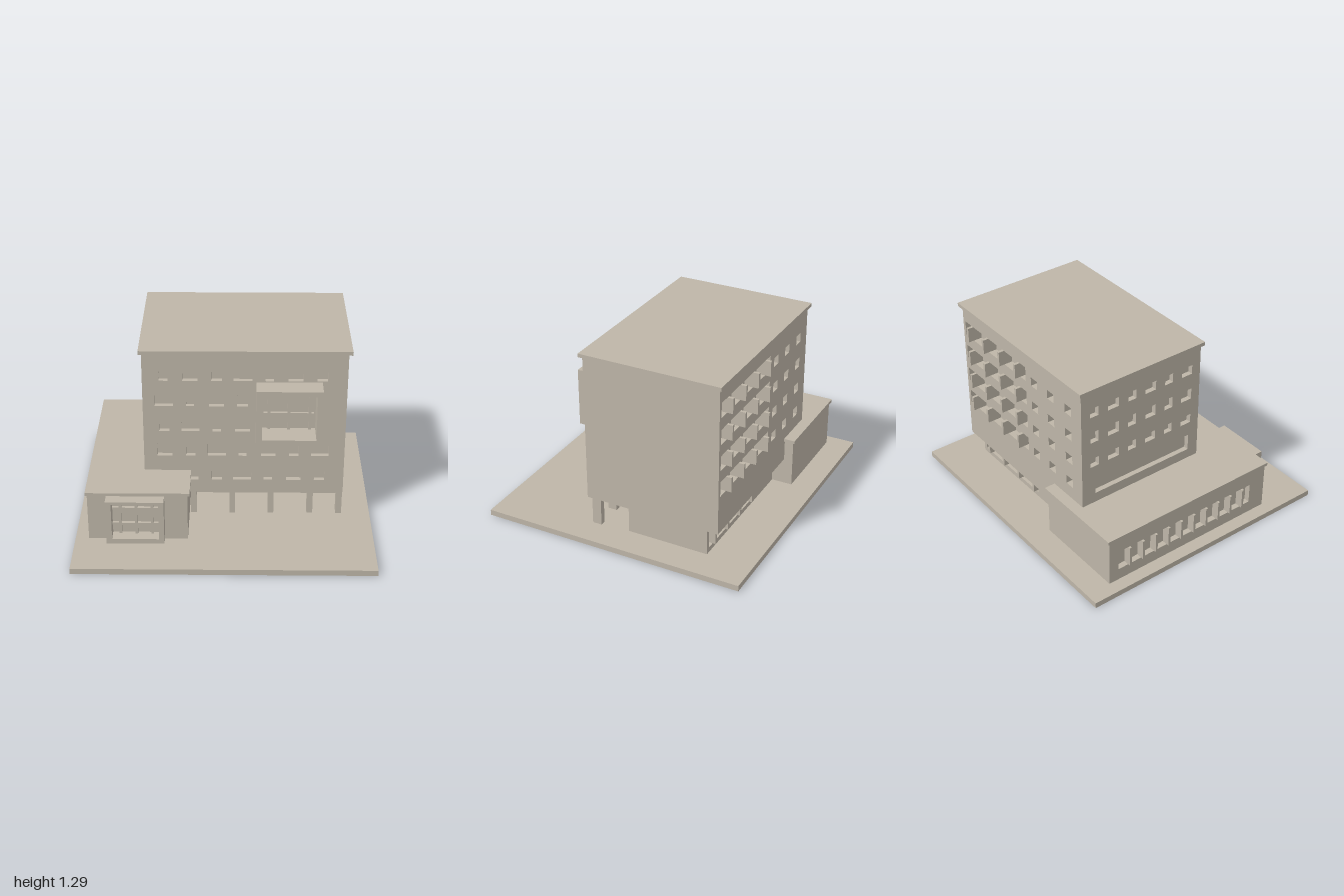
import * as THREE from 'three';

const stone = new THREE.MeshStandardMaterial({ color: 0xbeb6a8 });
stone.name = 'warm stone';

// Box given by its min and max corners
function box(parent, name, x0, x1, y0, y1, z0, z1) {
  const m = new THREE.Mesh(new THREE.BoxGeometry(x1 - x0, y1 - y0, z1 - z0), stone);
  m.position.set((x0 + x1) / 2, (y0 + y1) / 2, (z0 + z1) / 2);
  m.name = name;
  parent.add(m);
  return m;
}

function rect(path, [u0, u1, v0, v1]) {
  path.moveTo(u0, v0);
  path.lineTo(u1, v0);
  path.lineTo(u1, v1);
  path.lineTo(u0, v1);
  path.closePath();
  return path;
}

// Upright panel with rectangular openings, extruded along +z
function panel(parent, name, outline, holes, z0, z1) {
  const shape = rect(new THREE.Shape(), outline);
  for (const h of holes) shape.holes.push(rect(new THREE.Path(), h));
  const geo = new THREE.ExtrudeGeometry(shape, { depth: z1 - z0, bevelEnabled: false });
  const m = new THREE.Mesh(geo, stone);
  m.position.z = z0;
  m.name = name;
  parent.add(m);
  return m;
}

// Same panel turned to face -x; its first coordinate runs along z
function sidePanel(parent, name, outline, holes, xOuter, xInner) {
  const m = panel(parent, name, outline, holes, 0, xInner - xOuter);
  m.rotation.y = -Math.PI / 2;
  m.position.set(xInner, 0, 0);
  return m;
}

function named(name, parent) {
  const g = new THREE.Group();
  g.name = name;
  parent.add(g);
  return g;
}

export function createModel() {
  const model = new THREE.Group();
  model.name = 'officeBuilding';
  box(model, 'basePlate', -1, 1, 0, 0.04, -0.93, 0.93);

  // Tower body: core behind the perforated walls
  const tower = named('tower', model);
  box(tower, 'towerCore', -0.51, 0.805, 0.23, 1.27, -0.63, 0.235);
  box(tower, 'towerRoof', -0.565, 0.83, 1.27, 1.295, -0.71, 0.287);

  // Front windows: [centre x, width, height] from a shared sill height per row
  const columns = [-0.405, -0.23, -0.055, 0.117, 0.292, 0.465, 0.64];
  const edgeRow = [[0.06, 0.067], [0.1, 0.055], [0.07, 0.067], [0.124, 0.055], [0.056, 0.067], [0.1, 0.055], [0.07, 0.067]];
  const rows = [
    { y: 0.326, first: 1, sizes: edgeRow },
    { y: 0.513, first: 0, sizes: [[0.1, 0.09], [0.064, 0.085], [0.122, 0.09], [0.054, 0.085], [0.098, 0.09], [0.064, 0.085], [0.12, 0.09]] },
    { y: 0.7, first: 0, sizes: [[0.07, 0.054], [0.122, 0.07], [0.058, 0.054], [0.1, 0.07]] },
    { y: 0.888, first: 0, sizes: [[0.126, 0.077], [0.054, 0.093], [0.1, 0.077], [0.072, 0.093]] },
    { y: 1.075, first: 0, sizes: edgeRow },
  ];
  const bayHole = [0.245, 0.603, 0.71, 1.032];
  const frontHoles = [bayHole];
  for (const { y, first, sizes } of rows) {
    sizes.forEach(([w, h], i) => {
      if (i >= first) frontHoles.push([columns[i] - w / 2, columns[i] + w / 2, y, y + h]);
    });
  }
  panel(tower, 'towerFrontWall', [-0.545, 0.805, 0.23, 1.27], frontHoles, 0.235, 0.27);

  // Left wall: three rows of windows above one long slot
  const leftHoles = [[-0.585, 0.19, 0.47, 0.59]];
  for (const [y, h] of [[0.69, 0.065], [0.88, 0.08], [1.075, 0.067]]) {
    for (let i = 0; i < 6; i++) {
      const z = -0.59 + 0.15 * i;
      const w = i % 2 ? 0.085 : 0.065;
      leftHoles.push([z - w / 2, z + w / 2, y, y + h]);
    }
  }
  sidePanel(tower, 'towerSideWall', [-0.63, 0.235, 0.23, 1.27], leftHoles, -0.545, -0.51);

  // Back wall: long balcony slots with fins, and small windows
  const finX = [0.132, 0.318, 0.506, 0.692];
  const backHoles = [];
  for (let r = 0; r < 4; r++) {
    const y = 0.5 + 0.187 * r;
    backHoles.push([0.06, 0.78, y, y + 0.105]);
    for (const x of [-0.035, -0.215, -0.405]) backHoles.push([x - 0.035, x + 0.035, y - 0.005, y + 0.06]);
    for (const x of finX) box(tower, 'balconyFin', x - 0.01, x + 0.01, y, y + 0.105, -0.73, -0.63);
  }
  panel(tower, 'towerBackWall', [-0.545, 0.805, 0.23, 1.27], backHoles, -0.69, -0.63);

  // Projecting upper bay with its glazing bars
  const bay = named('upperBay', model);
  panel(bay, 'upperBayFrame', [0.205, 0.64, 0.67, 1.067], [bayHole], 0.27, 0.412);
  for (const x of [0.292, 0.425, 0.565]) box(bay, 'upperBayMullion', x - 0.009, x + 0.009, 0.71, 1.032, 0.235, 0.255);
  box(bay, 'upperBayTransom', 0.255, 0.592, 0.815, 0.832, 0.235, 0.255);

  // Recessed ground floor with a rear window strip, and front columns
  const ground = named('groundFloor', model);
  box(ground, 'groundFloorCore', -0.3, 0.785, 0.04, 0.23, -0.575, -0.03);
  panel(ground, 'groundFloorBackWall', [-0.3, 0.785, 0.04, 0.23], [[0.1, 0.755, 0.075, 0.19]], -0.605, -0.575);
  for (const x of finX) box(ground, 'groundFloorFin', x - 0.01, x + 0.01, 0.075, 0.19, -0.625, -0.575);
  for (const x of [-0.215, 0.05, 0.315, 0.585, 0.785]) box(ground, 'column', x - 0.02, x + 0.02, 0.04, 0.23, 0.17, 0.235);

  // Low side wing with a finned window strip
  const wing = named('wing', model);
  box(wing, 'wingCore', -0.87, -0.245, 0.04, 0.378, -0.753, 0.568);
  box(wing, 'wingRoof', -0.922, -0.23, 0.378, 0.4, -0.768, 0.58);
  sidePanel(wing, 'wingSideWall', [-0.753, 0.568, 0.04, 0.378], [[-0.68, 0.44, 0.125, 0.27]], -0.91, -0.87);
  for (let i = 0; i < 10; i++) {
    const z = -0.594 + 0.1065 * i;
    box(wing, 'wingFin', -0.928, -0.87, 0.125, 0.27, z - 0.008, z + 0.008);
  }

  // Projecting bay on the wing front with a grid of bars
  const wingBay = named('wingBay', model);
  panel(wingBay, 'wingBayFrame', [-0.783, -0.398, 0.058, 0.377], [[-0.745, -0.433, 0.093, 0.357]], 0.568, 0.658);
  for (const x of [-0.692, -0.586, -0.48]) box(wingBay, 'wingBayMullion', x - 0.009, x + 0.009, 0.093, 0.357, 0.568, 0.588);
  for (const y of [0.168, 0.286]) box(wingBay, 'wingBayTransom', -0.745, -0.433, y - 0.008, y + 0.008, 0.568, 0.588);

  return model;
}
